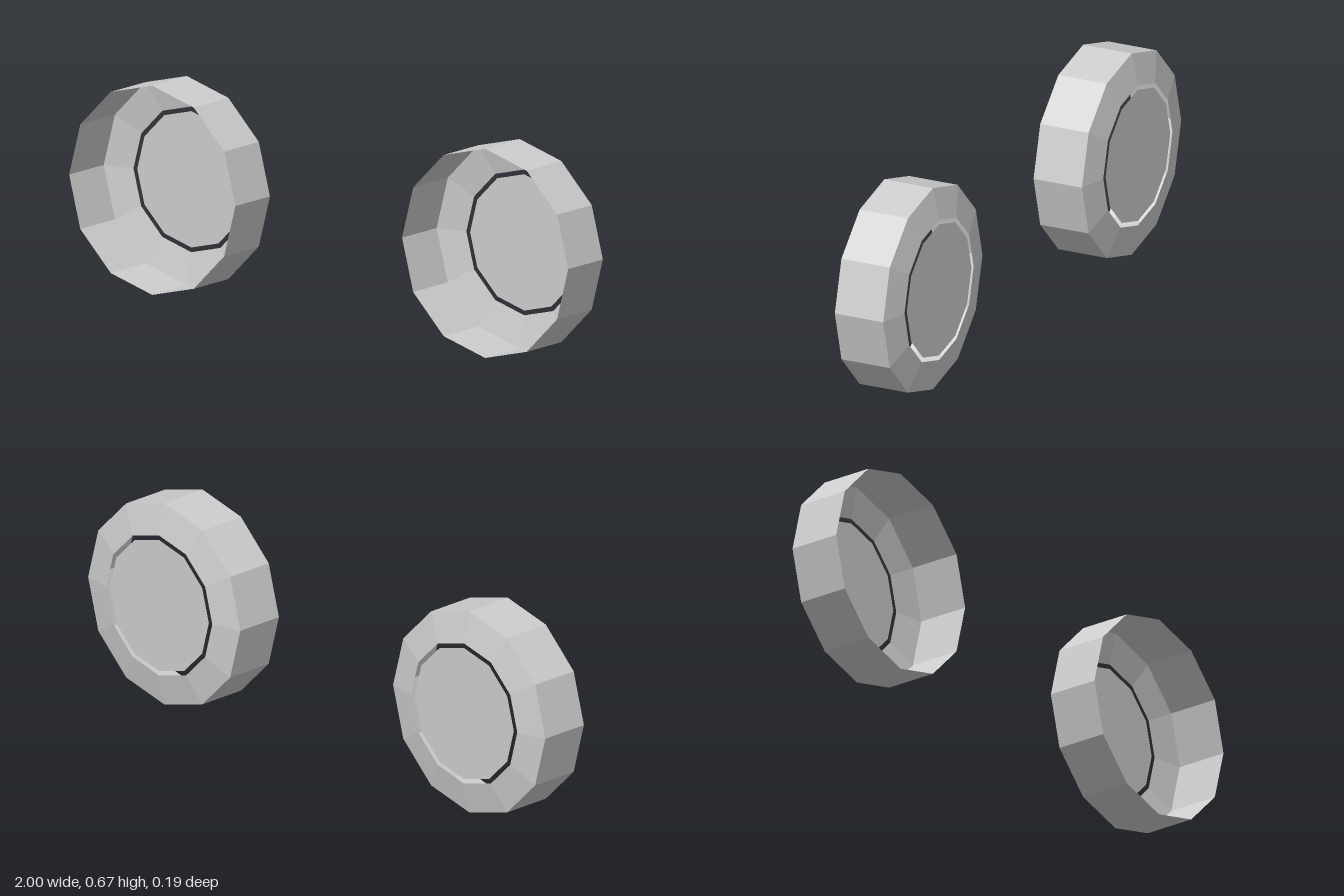
import * as THREE from 'three';

const SIDES = 12;
const RADIUS = 0.333;
const HUB_Z = -0.095;

export function createModel() {
  const grey = new THREE.MeshStandardMaterial({ color: 0xcccccc, flatShading: true, side: THREE.DoubleSide });
  grey.name = 'grey';

  // Open shell: sloped back ring, then the tread wall running forward
  const shellProfile = [
    new THREE.Vector2(0.232, HUB_Z),
    new THREE.Vector2(RADIUS, -0.073),
    new THREE.Vector2(RADIUS, 0.096),
  ];
  const shellGeometry = new THREE.LatheGeometry(shellProfile, SIDES).rotateX(Math.PI / 2);

  // Flat hub plate, separated from the ring by a narrow gap
  const hubGeometry = new THREE.CircleGeometry(0.217, SIDES);

  const model = new THREE.Group();
  model.name = 'wheelPair';
  for (const [side, name] of [[1, 'leftWheel'], [-1, 'rightWheel']]) {
    const wheel = new THREE.Group();
    wheel.name = name;

    const shell = new THREE.Mesh(shellGeometry, grey);
    shell.name = 'tyreShell';

    const hub = new THREE.Mesh(hubGeometry, grey);
    hub.name = 'hubPlate';
    hub.position.z = HUB_Z;

    wheel.add(shell, hub);
    wheel.position.set(side * (1 - RADIUS), RADIUS, 0);
    model.add(wheel);
  }
  return model;
}
